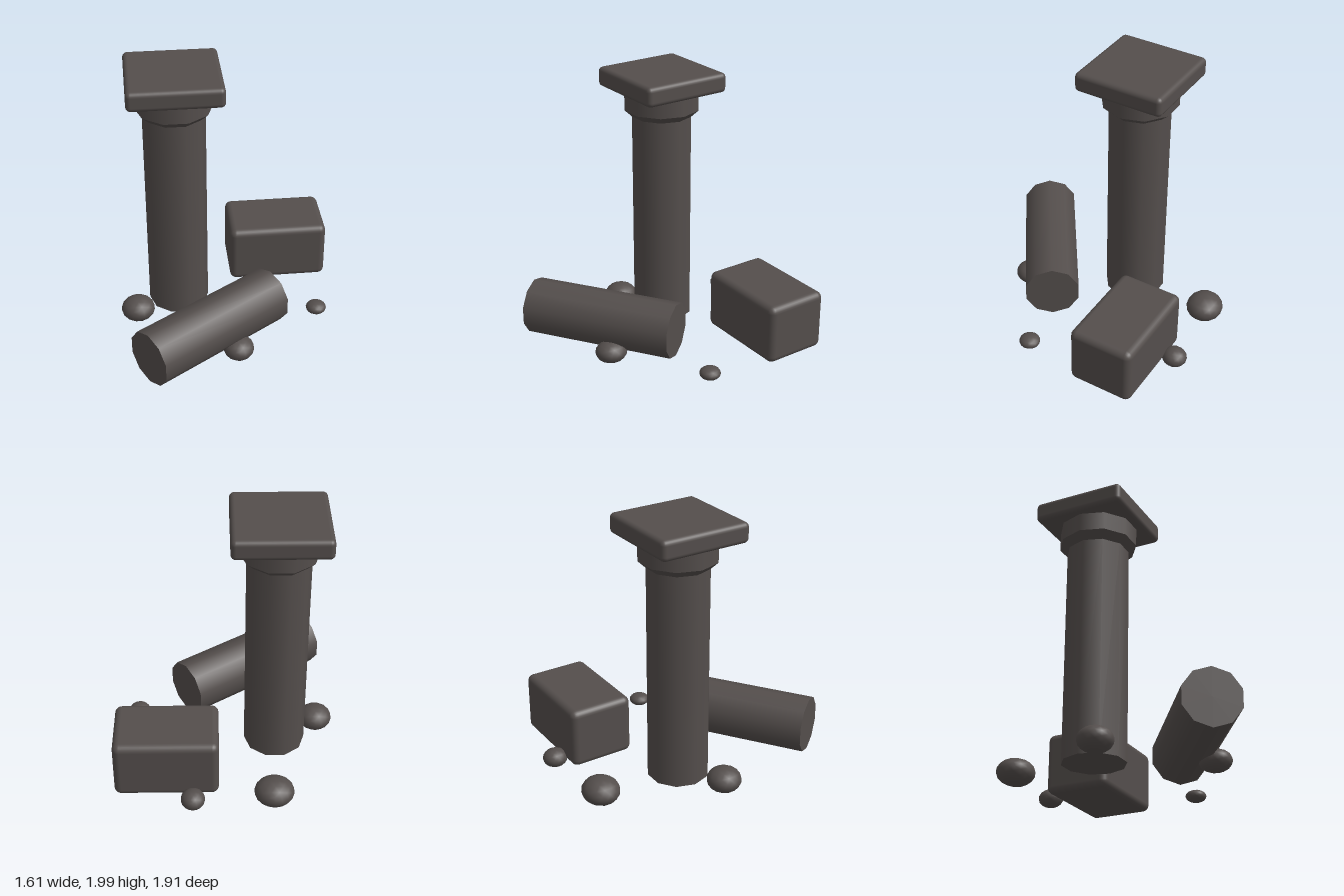
import * as THREE from 'three';
import { RoundedBoxGeometry } from 'three/addons/geometries/RoundedBoxGeometry.js';

export function createModel() {
  const stone = new THREE.MeshStandardMaterial({ color: 0x544e4c });
  stone.name = 'dark stone';
  const model = new THREE.Group();
  model.name = 'ruins';

  function add(parent, name, geometry, x, y, z) {
    const mesh = new THREE.Mesh(geometry, stone);
    mesh.name = name;
    mesh.position.set(x, y, z);
    parent.add(mesh);
    return mesh;
  }

  // ten-sided drum with corners on the x axis
  const drum = (top, bottom, height) =>
    new THREE.CylinderGeometry(top, bottom, height, 10).rotateY(Math.PI / 2);

  // standing column: shaft, flared neck, capital drum and square slab
  const column = new THREE.Group();
  column.name = 'standingColumn';
  column.position.set(-0.36, 0, -0.183);
  model.add(column);
  add(column, 'shaft', drum(0.225, 0.225, 1.605), 0, 0.8675, 0);
  add(column, 'neck', drum(0.28, 0.225, 0.052), 0, 1.694, 0);
  add(column, 'capital', drum(0.28, 0.28, 0.15), 0, 1.795, 0);
  add(column, 'topSlab', new RoundedBoxGeometry(0.674, 0.145, 0.674, 3, 0.035), 0, 1.9275, 0);

  // broken piece of column lying on the ground
  const fallen = drum(0.2065, 0.2065, 1.13).rotateZ(Math.PI / 2);
  add(model, 'fallenColumn', fallen, -0.166, 0.272, 0.47).rotation.y = 0.6;

  // loose building block
  add(model, 'block', new RoundedBoxGeometry(0.746, 0.45, 0.485, 3, 0.05), 0.431, 0.29, -0.562);

  // flattened rubble: centre, then half sizes
  const rubble = [
    [-0.335, 0.105, -0.81, 0.144, 0.096, 0.136],
    [0.245, 0.088, -0.865, 0.087, 0.068, 0.092],
    [-0.682, 0.1, -0.003, 0.126, 0.09, 0.125],
    [0.025, 0.098, 0.533, 0.112, 0.08, 0.118],
    [0.664, 0.09, 0.114, 0.077, 0.045, 0.077],
  ];
  rubble.forEach(([x, y, z, sx, sy, sz], i) => {
    const rock = add(model, 'rubble' + (i + 1), new THREE.IcosahedronGeometry(1, 2), x, y, z);
    rock.scale.set(sx, sy, sz);
  });
  return model;
}
